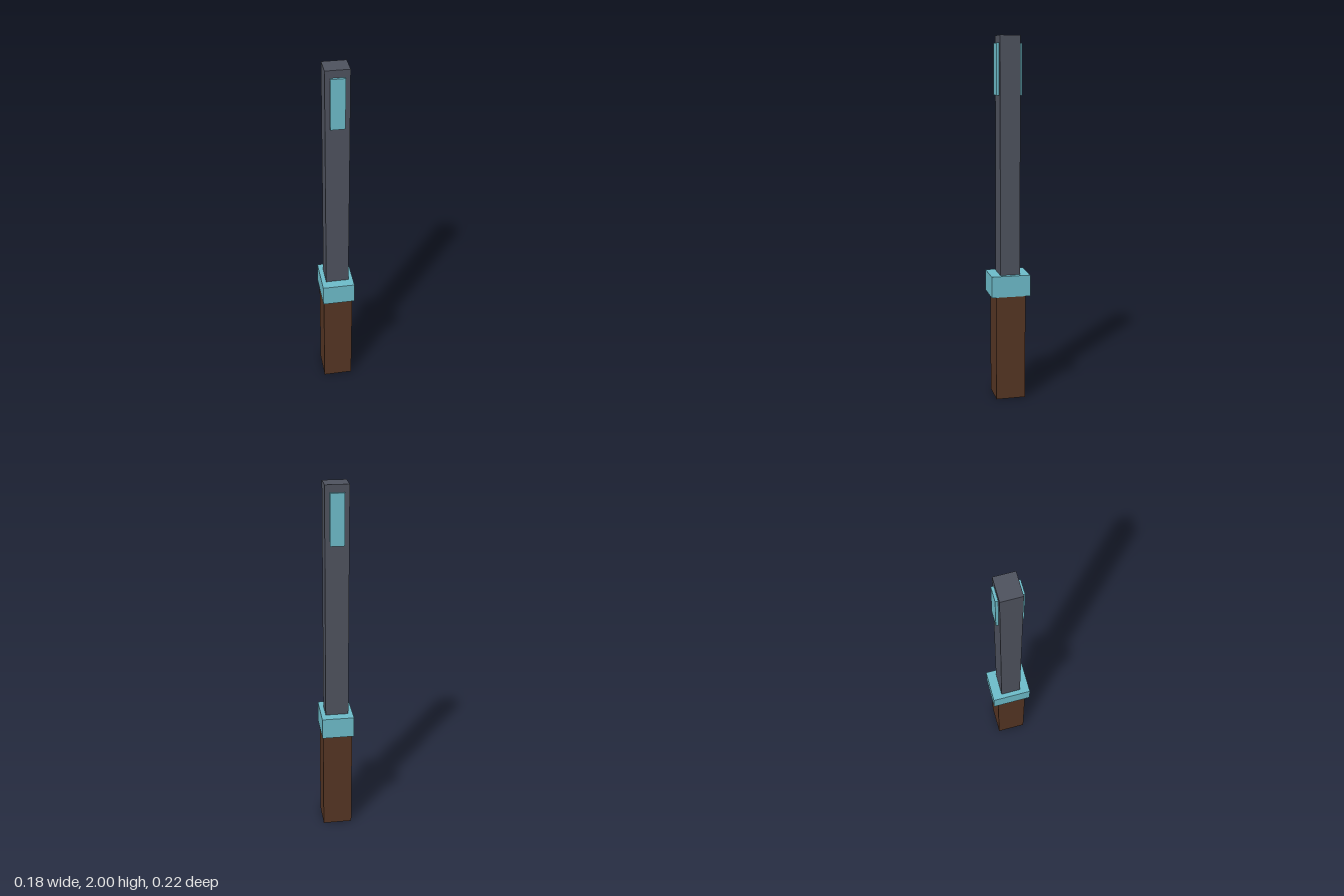
import * as THREE from 'three';

const flat = (name, color) => {
  const material = new THREE.MeshStandardMaterial({ color });
  material.name = name;
  return material;
};

export function createModel() {
  const group = new THREE.Group();
  group.name = 'baton';
  const wood = flat('brown wood', 0x553523);
  const steel = flat('dark steel', 0x4e525e);
  const teal = flat('pale teal', 0x6dbbc9);

  // Box standing between two heights
  const block = (name, material, width, depth, bottom, top, z = 0) => {
    const mesh = new THREE.Mesh(new THREE.BoxGeometry(width, top - bottom, depth), material);
    mesh.name = name;
    mesh.position.set(0, (bottom + top) / 2, z);
    group.add(mesh);
  };

  block('handle', wood, 0.164, 0.164, 0, 0.592);
  block('guard', teal, 0.178, 0.217, 0.592, 0.71);
  block('shaft', steel, 0.127, 0.11, 0.71, 2);

  // Raised panels near the tip, front and back
  for (const [name, side] of [['frontPanel', 1], ['backPanel', -1]]) {
    block(name, teal, 0.076, 0.014, 1.687, 1.96, side * 0.062);
  }
  return group;
}
